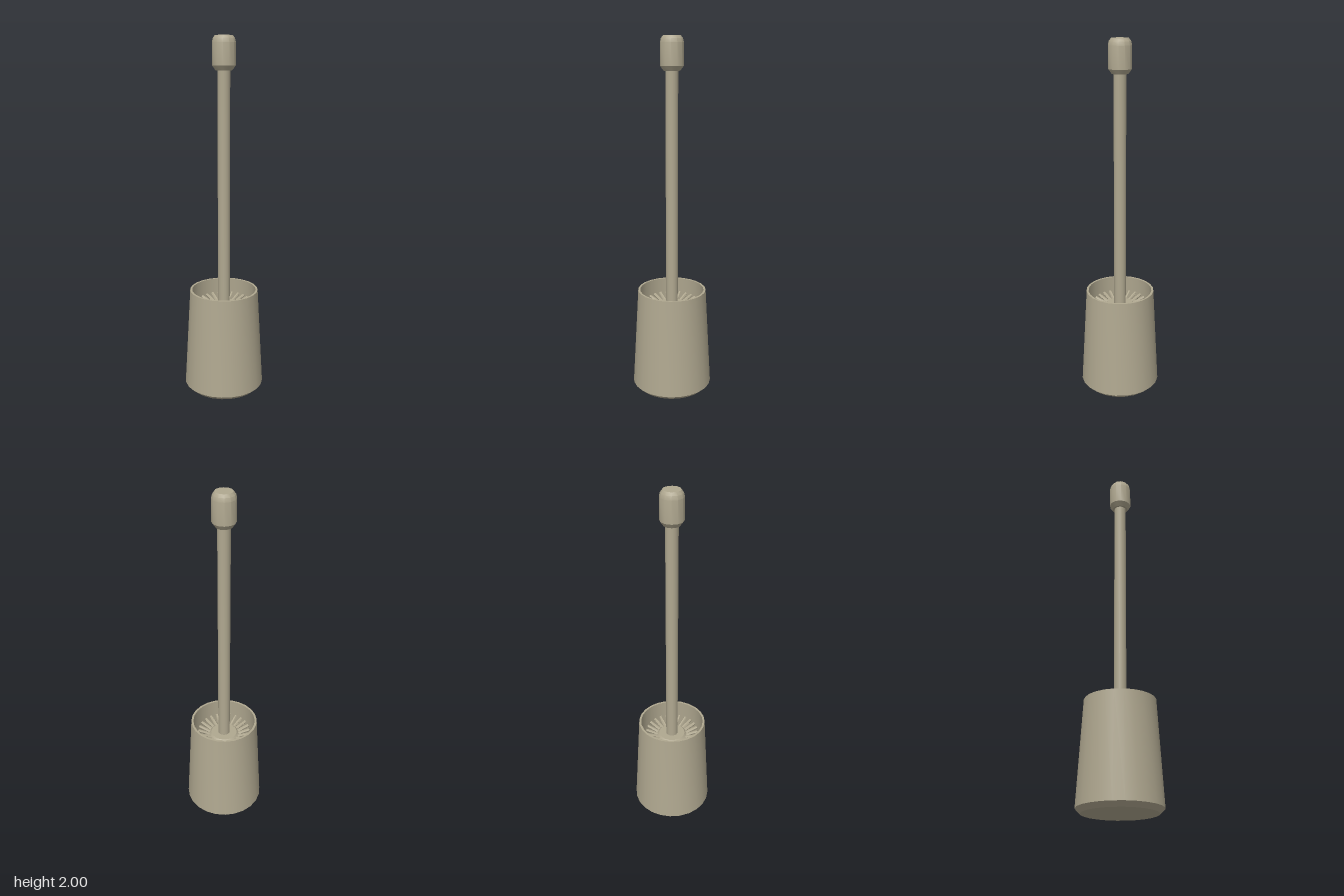
import * as THREE from 'three';
import { toCreasedNormals } from 'three/addons/utils/BufferGeometryUtils.js';

const material = new THREE.MeshStandardMaterial({ color: 0xb0a890 });

// Turned part from [radius, height] pairs, listed bottom to top on the outside
function turned(name, profile, sides) {
  const points = profile.map(([r, y]) => new THREE.Vector2(r, y));
  const geometry = toCreasedNormals(new THREE.LatheGeometry(points, sides), 0.55);
  const mesh = new THREE.Mesh(geometry, material);
  mesh.name = name;
  return mesh;
}

// Ring of bristles running from an inner to an outer point of the profile plane
function bristleRow(inner, outer, count) {
  const row = new THREE.Group();
  row.name = 'bristleRow';
  const a = new THREE.Vector3(inner[0], inner[1], 0);
  const b = new THREE.Vector3(outer[0], outer[1], 0);
  const dir = b.clone().sub(a);
  const geometry = new THREE.CylinderGeometry(0.008, 0.01, dir.length(), 6);
  geometry.applyQuaternion(new THREE.Quaternion().setFromUnitVectors(
    new THREE.Vector3(0, 1, 0), dir.clone().normalize()));
  const mid = a.add(b).multiplyScalar(0.5);
  geometry.translate(mid.x, mid.y, 0);
  const flat = toCreasedNormals(geometry, 0.3);
  for (let i = 0; i < count; i++) {
    const bristle = new THREE.Mesh(flat, material);
    bristle.name = 'bristle';
    bristle.rotation.y = (i / count) * Math.PI * 2;
    row.add(bristle);
  }
  return row;
}

export function createModel() {
  const model = new THREE.Group();
  model.name = 'toiletBrush';

  // Tapered open holder with chamfered foot, thin rim and inner floor
  model.add(turned('holder', [
    [0, 0], [0.2, 0], [0.227, 0.025], [0.194, 0.592],
    [0.182, 0.592], [0.212, 0.04], [0, 0.04],
  ], 24));

  const brush = new THREE.Group();
  brush.name = 'brush';
  model.add(brush);

  // Brush core, with a small chamfered collar on top
  brush.add(turned('brushCore', [
    [0, 0.08], [0.09, 0.08], [0.137, 0.14], [0.137, 0.4],
    [0.09, 0.47], [0.09, 0.49], [0.075, 0.505], [0, 0.505],
  ], 24));

  // Bristles: upright-leaning top row, level rows below
  brush.add(bristleRow([0.08, 0.485], [0.154, 0.515], 24));
  for (let y = 0.16; y < 0.42; y += 0.075) {
    brush.add(bristleRow([0.12, y], [0.155, y], 24));
  }

  // Rod
  brush.add(turned('rod', [[0.034, 0.48], [0.034, 1.84]], 16));

  // Grip knob
  brush.add(turned('grip', [
    [0, 1.82], [0.045, 1.82], [0.063, 1.845], [0.063, 1.965],
    [0.058, 1.985], [0.047, 2], [0, 2],
  ], 12));

  return model;
}
